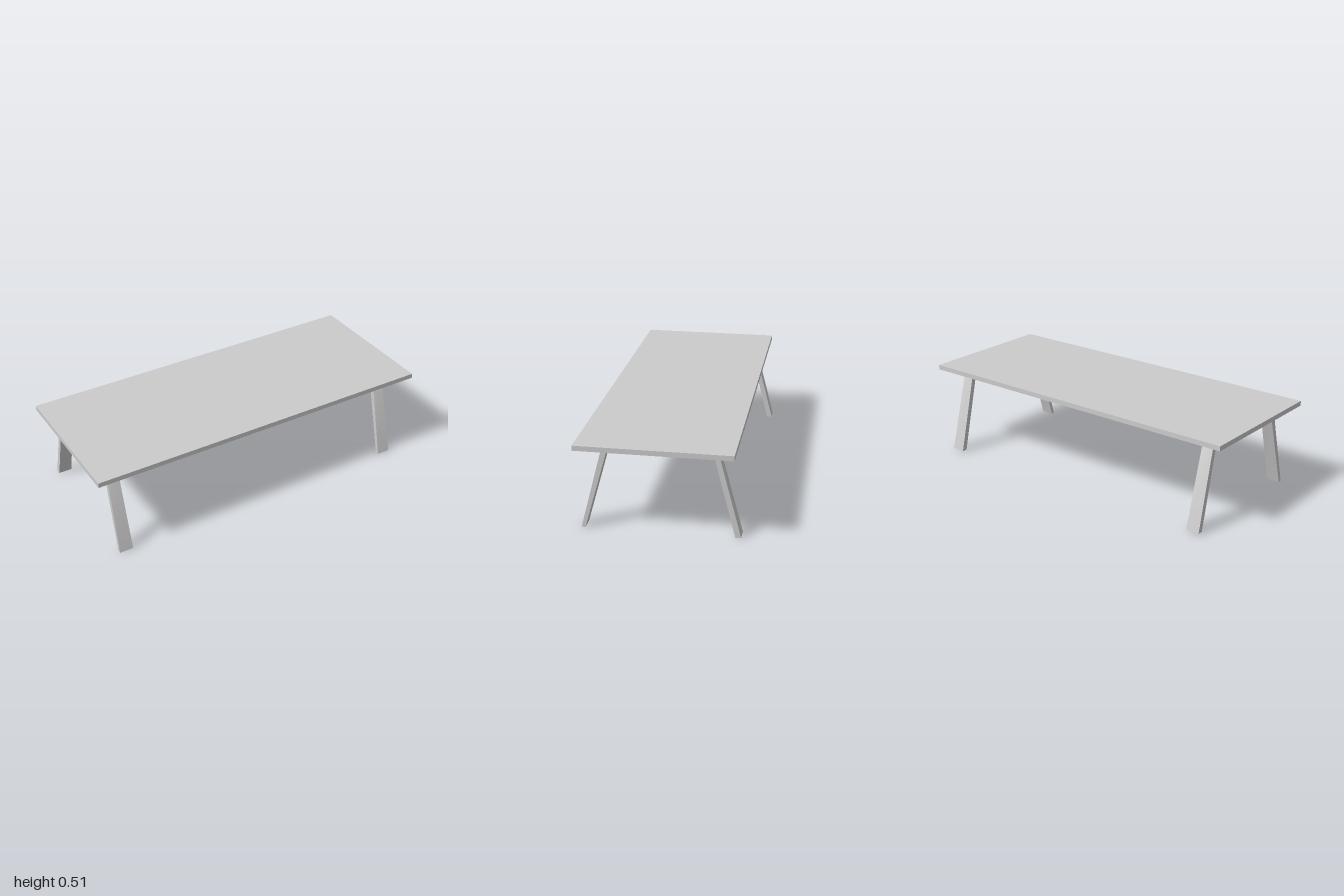
import * as THREE from 'three';
import { toCreasedNormals } from 'three/addons/utils/BufferGeometryUtils.js';

const material = new THREE.MeshStandardMaterial({ color: 0xcccccc });

// Bent trestle drawn side-on (shape x = model z), extruded across its width
function legFrameGeometry() {
  const s = new THREE.Shape();
  s.moveTo(0.416, 0.002);
  s.lineTo(0.296, 0.467);
  s.quadraticCurveTo(0.292, 0.478, 0.272, 0.48);
  s.lineTo(-0.274, 0.48);
  s.quadraticCurveTo(-0.291, 0.478, -0.295, 0.469);
  s.lineTo(-0.417, 0.005);
  s.lineTo(-0.387, 0.005);
  // inner edge with rounded corners under the crossbar
  s.lineTo(-0.28, 0.42);
  s.quadraticCurveTo(-0.267, 0.466, -0.24, 0.467);
  s.lineTo(0.24, 0.467);
  s.quadraticCurveTo(0.262, 0.466, 0.278, 0.42);
  s.lineTo(0.396, 0);
  s.closePath();

  const g = new THREE.ExtrudeGeometry(s, { depth: 1, bevelEnabled: false, curveSegments: 8 });
  g.translate(0, 0, -0.5);
  g.rotateY(-Math.PI / 2);
  // legs widen towards the floor
  const p = g.attributes.position;
  for (let i = 0; i < p.count; i++) {
    p.setX(i, p.getX(i) * (0.077 - 0.012 * p.getY(i) / 0.48));
  }
  return toCreasedNormals(g, 0.5);
}

export function createModel() {
  const table = new THREE.Group();
  table.name = 'table';

  const top = new THREE.Mesh(new THREE.BoxGeometry(2, 0.027, 0.808), material);
  top.name = 'tabletop';
  top.position.set(0, 0.4935, 0.014);
  table.add(top);

  // one trestle near each end
  const frame = legFrameGeometry();
  for (const [name, x] of [['rightLegFrame', -0.871], ['leftLegFrame', 0.844]]) {
    const mesh = new THREE.Mesh(frame, material);
    mesh.name = name;
    mesh.position.x = x;
    table.add(mesh);
  }
  return table;
}
